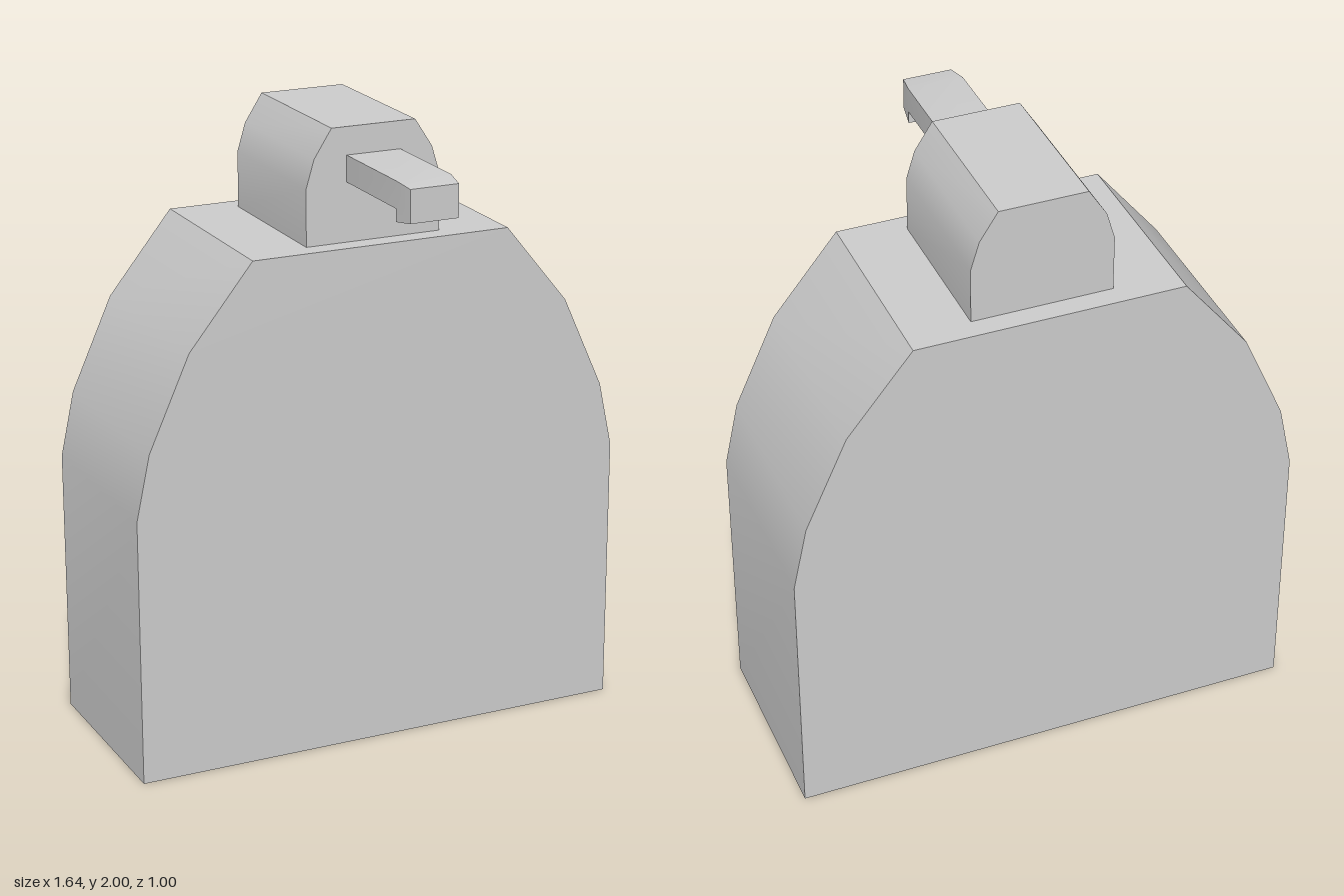
import * as THREE from 'three';
import { toCreasedNormals } from 'three/addons/utils/BufferGeometryUtils.js';

const material = new THREE.MeshStandardMaterial({ color: 0xcccccc });

// Extrude an outline between two depths, smoothing only the shallow bends
function slab(points, from, to) {
  const shape = new THREE.Shape(points.map(([x, y]) => new THREE.Vector2(x, y)));
  const geometry = new THREE.ExtrudeGeometry(shape, { depth: to - from, bevelEnabled: false });
  return geometry.translate(0, 0, from);
}

// Complete a right-hand half outline (bottom to top) with its mirror
function mirrored(half) {
  return [...half, ...half.map(([x, y]) => [-x, y]).reverse()];
}

function part(name, geometry) {
  const mesh = new THREE.Mesh(toCreasedNormals(geometry, Math.PI / 6), material);
  mesh.name = name;
  return mesh;
}

export function createModel() {
  const group = new THREE.Group();
  group.name = 'pumpDispenser';

  // Bottle with rounded shoulders
  const body = mirrored([[0.82, 0], [0.82, 0.87], [0.775, 1.08], [0.64, 1.38], [0.43, 1.64]]);
  group.add(part('bottleBody', slab(body, -0.5, 0.155)));

  // Pump head on top
  const head = mirrored([[0.225, 1.64], [0.225, 1.82], [0.198, 1.91], [0.14, 2]]);
  group.add(part('pumpHead', slab(head, -0.43, 0.09)));

  // Spout: side outline (z, y) with a down-turned lip, extruded across x
  const outline = [[0.08, 1.828], [0.428, 1.828], [0.428, 1.788], [0.5, 1.798],
    [0.5, 1.902], [0.428, 1.912], [0.08, 1.912]];
  const spout = slab(outline, -0.09, 0.09).rotateY(-Math.PI / 2);

  // Narrow the tip of the spout
  const position = spout.attributes.position;
  for (let i = 0; i < position.count; i++) {
    if (position.getZ(i) > 0.45) position.setX(i, position.getX(i) * 0.88);
  }
  group.add(part('spout', spout));

  return group;
}
